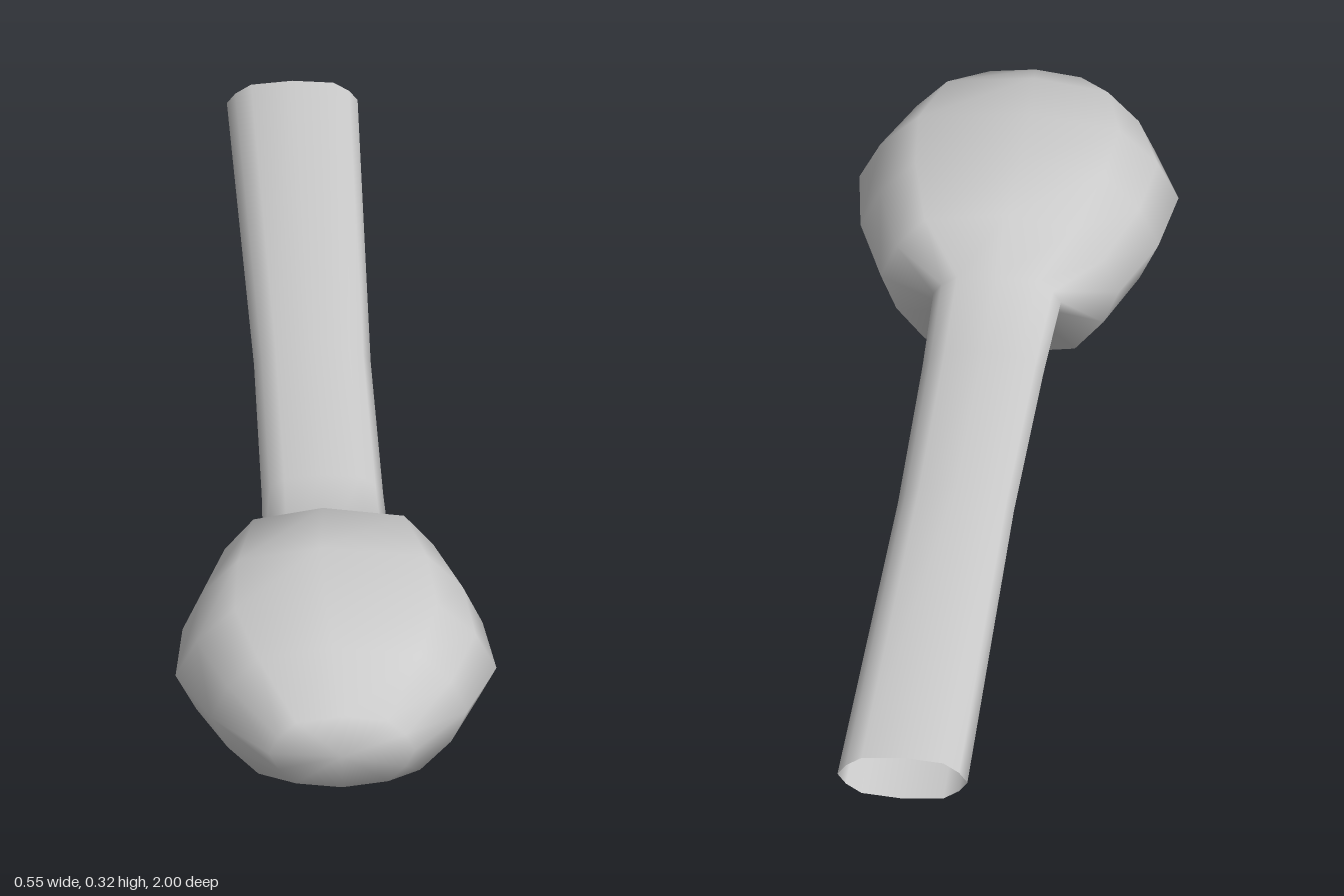
import * as THREE from 'three';

// Upper-right quarter of the unit cross-section, tip to crown
const quarter = [[1, 0], [0.87, 0.45], [0.63, 0.86]];

// Full 12-sided section, counter-clockwise; the crown leans slightly to one side
function section(lean) {
  const half = [
    ...quarter,
    [-lean, 1],
    ...quarter.slice(1).reverse().map(([x, y]) => [-x, y]),
  ];
  return [...half, ...half.map(([x, y]) => [-x, -y])];
}

// Closed-front, open-back skin through rings of [z, halfWidth, halfHeight, lean]
function loft(rings, centreY, noseZ) {
  const positions = [];
  const index = [];
  const n = 12;
  for (const [z, w, h, lean] of rings) {
    for (const [x, y] of section(lean)) positions.push(x * w, centreY + y * h, z);
  }
  for (let i = 0; i < rings.length - 1; i++) {
    for (let j = 0; j < n; j++) {
      const k = (j + 1) % n;
      const a = i * n + j, b = i * n + k, c = a + n, d = b + n;
      index.push(a, c, b, b, c, d);
    }
  }
  // Shallow cap at the front
  const nose = positions.length / 3;
  positions.push(0, centreY, noseZ);
  for (let j = 0; j < n; j++) index.push(nose, j, (j + 1) % n);

  const geometry = new THREE.BufferGeometry();
  geometry.setAttribute('position', new THREE.Float32BufferAttribute(positions, 3));
  geometry.setIndex(index);
  geometry.computeVertexNormals();
  return geometry;
}

export function createModel() {
  const group = new THREE.Group();
  group.name = 'bulbOnStem';
  const material = new THREE.MeshStandardMaterial({ color: 0xcccccc, side: THREE.DoubleSide });

  const rings = [
    // bulb
    [0.985, 0.125, 0.073, 0],
    [0.87, 0.22, 0.138, 0.05],
    [0.74, 0.275, 0.156, 0.07],
    [0.6, 0.257, 0.162, 0.08],
    [0.455, 0.205, 0.146, 0.05],
    // neck and hollow stem
    [0.415, 0.11, 0.045, 0],
    [0.2, 0.104, 0.041, 0],
    [-0.2, 0.1, 0.041, 0],
    [-1, 0.112, 0.043, 0],
  ];
  const body = new THREE.Mesh(loft(rings, 0.163, 1), material);
  body.name = 'bulbAndStem';
  group.add(body);
  return group;
}
